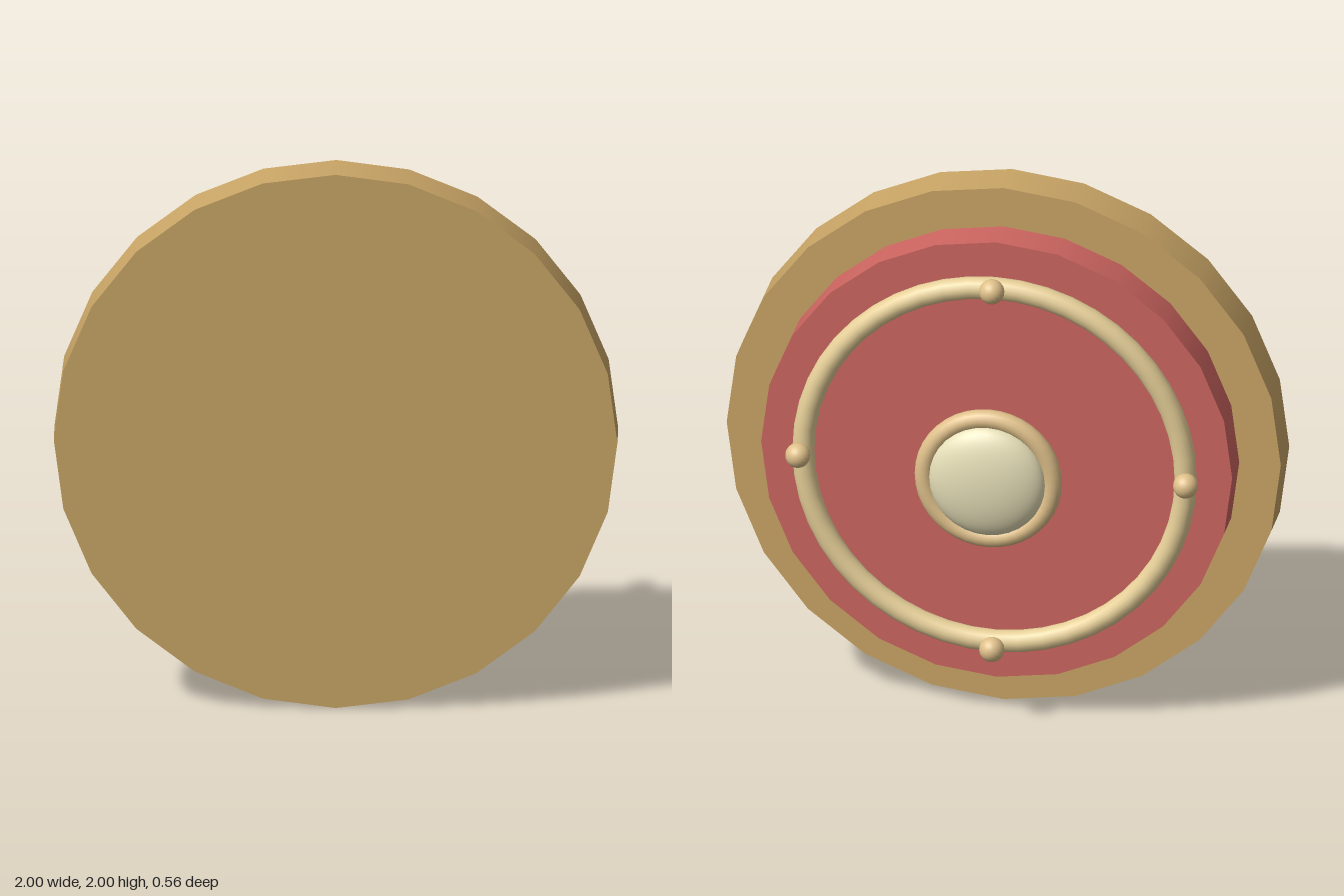
import * as THREE from 'three';

const gold = new THREE.MeshStandardMaterial({ color: 0xc9a566 });
const red = new THREE.MeshStandardMaterial({ color: 0xcd6560 });
const paleGold = new THREE.MeshStandardMaterial({ color: 0xe6cf98 });
const warmGold = new THREE.MeshStandardMaterial({ color: 0xdfc08a });
const cream = new THREE.MeshStandardMaterial({ color: 0xe6dfb8 });

export function createModel() {
  const model = new THREE.Group();
  model.name = 'roundShield';

  // All parts sit on one axis through the centre, one unit above the floor
  const add = (name, geometry, material, x, y, z) => {
    const mesh = new THREE.Mesh(geometry, material);
    mesh.name = name;
    mesh.position.set(x, 1 + y, z);
    model.add(mesh);
    return mesh;
  };

  // 24-sided disc between two depths, with a corner at the top
  const disc = (name, radius, zBack, zFront, material) => add(
    name,
    new THREE.CylinderGeometry(radius, radius, zFront - zBack, 24).rotateX(Math.PI / 2),
    material, 0, 0, (zFront + zBack) / 2
  );

  // Stacked plates
  disc('basePlate', 1, 0.115, 0.278, gold);
  disc('redPlate', 0.85, -0.022, 0.115, red);

  // Raised ring with four studs
  add('outerRing', new THREE.TorusGeometry(0.69, 0.04, 16, 48), paleGold, 0, 0, -0.062);
  for (let i = 0; i < 4; i++) {
    const a = (i * Math.PI) / 2;
    add('stud', new THREE.SphereGeometry(0.045, 20, 14), warmGold,
      0.7 * Math.cos(a), 0.7 * Math.sin(a), -0.116);
  }

  // Central boss: domed gem held in a small ring
  add('bossRing', new THREE.TorusGeometry(0.231, 0.035, 16, 40), warmGold, 0, 0, -0.181);
  const gem = new THREE.SphereGeometry(0.21, 32, 24).rotateX(Math.PI / 2);
  gem.scale(1, 1, 0.365);
  add('bossGem', gem, cream, 0, 0, -0.202);

  return model;
}
